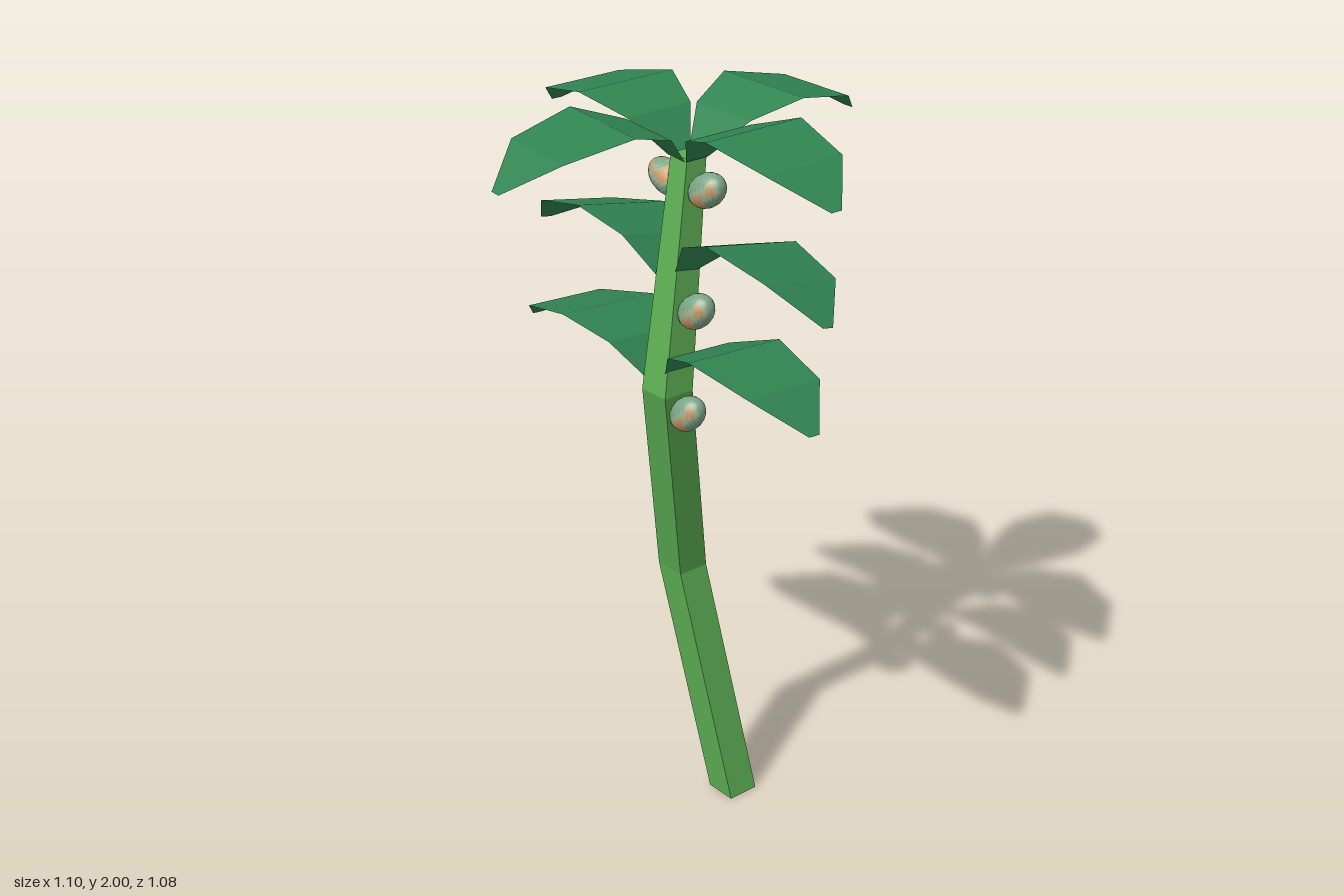
import * as THREE from 'three';

const material = (name, color, side = THREE.FrontSide) => {
  const m = new THREE.MeshStandardMaterial({ color, side });
  m.name = name;
  return m;
};

const stemGreen = material('stem green', 0x5cae53);
const leafGreen = material('leaf green', 0x318552, THREE.DoubleSide);
const fruitSkin = [
  material('fruit sage', 0x9fb08e),
  material('fruit orange', 0xcf945c),
  material('fruit teal', 0x7ba588),
];

// Square stem bent through four rings: [x, y, z, width], top first
function stemGeometry() {
  const rings = [
    [-0.013, 1.875, -0.003, 0.062],
    [0.022, 1.285, 0.097, 0.09],
    [-0.083, 0.69, -0.04, 0.09],
    [0.045, 0, -0.115, 0.09],
  ];
  const geo = new THREE.BoxGeometry(1, 1, 1, 1, 3, 1);
  const p = geo.attributes.position;
  for (let i = 0; i < p.count; i++) {
    const [x, y, z, w] = rings[Math.round((0.5 - p.getY(i)) * 3)];
    p.setXYZ(i, x + p.getX(i) * w, y, z + p.getZ(i) * w);
  }
  const flat = geo.toNonIndexed();
  flat.computeVertexNormals();
  return flat;
}

// Arched leaf pointing along +x: [out, up, half width], tip first
function leafGeometry() {
  const rows = [
    [0.54, 0.013, 0.016],
    [0.425, 0.092, 0.118],
    [0.245, 0.13, 0.147],
    [0.115, 0.088, 0.1],
    [0.033, 0, 0.034],
  ];
  const geo = new THREE.PlaneGeometry(1, 1, 1, 4);
  const p = geo.attributes.position;
  for (let i = 0; i < p.count; i++) {
    const [out, up, half] = rows[Math.round((0.5 - p.getY(i)) * 4)];
    p.setXYZ(i, out, up, p.getX(i) * 2 * half);
  }
  const flat = geo.toNonIndexed();
  flat.computeVertexNormals();
  return flat;
}

// Smooth egg with mottled patches, one material group per triangle
function fruitGeometry() {
  const geo = new THREE.SphereGeometry(1, 20, 14).toNonIndexed();
  geo.scale(0.043, 0.062, 0.039);
  const p = geo.attributes.position;
  for (let i = 0; i < p.count; i += 3) {
    const x = p.getX(i) * 75, y = p.getY(i) * 65, z = p.getZ(i) * 75;
    const n = Math.sin(x + 1.3 * Math.sin(y)) + Math.sin(y * 1.4 + z) + Math.sin(z * 1.2 - x);
    geo.addGroup(i, 3, n > 0.75 ? 1 : n < -0.45 ? 2 : 0);
  }
  return geo;
}

export function createModel() {
  const group = new THREE.Group();
  const add = (name, geo, mat, x, y, z) => {
    const mesh = new THREE.Mesh(geo, mat);
    mesh.name = name;
    mesh.position.set(x, y, z);
    group.add(mesh);
    return mesh;
  };

  add('stem', stemGeometry(), stemGreen, 0, 0, 0);

  // Leaves: name, base position, yaw, roll
  const leaf = leafGeometry();
  const H = Math.PI / 2;
  [
    ['topLeftLeaf', -0.01, 1.87, 0, -0.03, 0],
    ['topRightLeaf', -0.01, 1.87, 0, 2 * H - 0.02, 0],
    ['topFrontLeaf', -0.01, 1.87, 0, -H - 0.11, 0],
    ['topBackLeaf', -0.013, 1.87, 0, H, 0],
    ['middleLeftLeaf', 0.005, 1.597, 0.05, 0, -0.2],
    ['middleRightLeaf', 0.005, 1.562, 0.05, 2 * H, 0.2],
    ['lowerLeftLeaf', 0.012, 1.335, 0.09, 0, -0.07],
    ['lowerRightLeaf', 0.012, 1.302, 0.09, 2 * H, 0.07],
  ].forEach(([name, x, y, z, yaw, roll]) => {
    add(name, leaf, leafGreen, x, y, z).rotation.set(roll, yaw, 0, 'YXZ');
  });

  // Fruits leaning away from the stem: name, position, lean
  const fruit = fruitGeometry();
  [
    ['topRightFruit', -0.08, 1.8, 0.008, 1.2],
    ['topLeftFruit', 0.07, 1.805, 0.008, -1.0],
    ['middleFruit', 0.093, 1.51, 0.062, -0.9],
    ['lowerFruit', 0.093, 1.24, 0.09, -0.85],
  ].forEach(([name, x, y, z, lean]) => {
    add(name, fruit, fruitSkin, x, y, z).rotation.z = lean;
  });

  return group;
}
